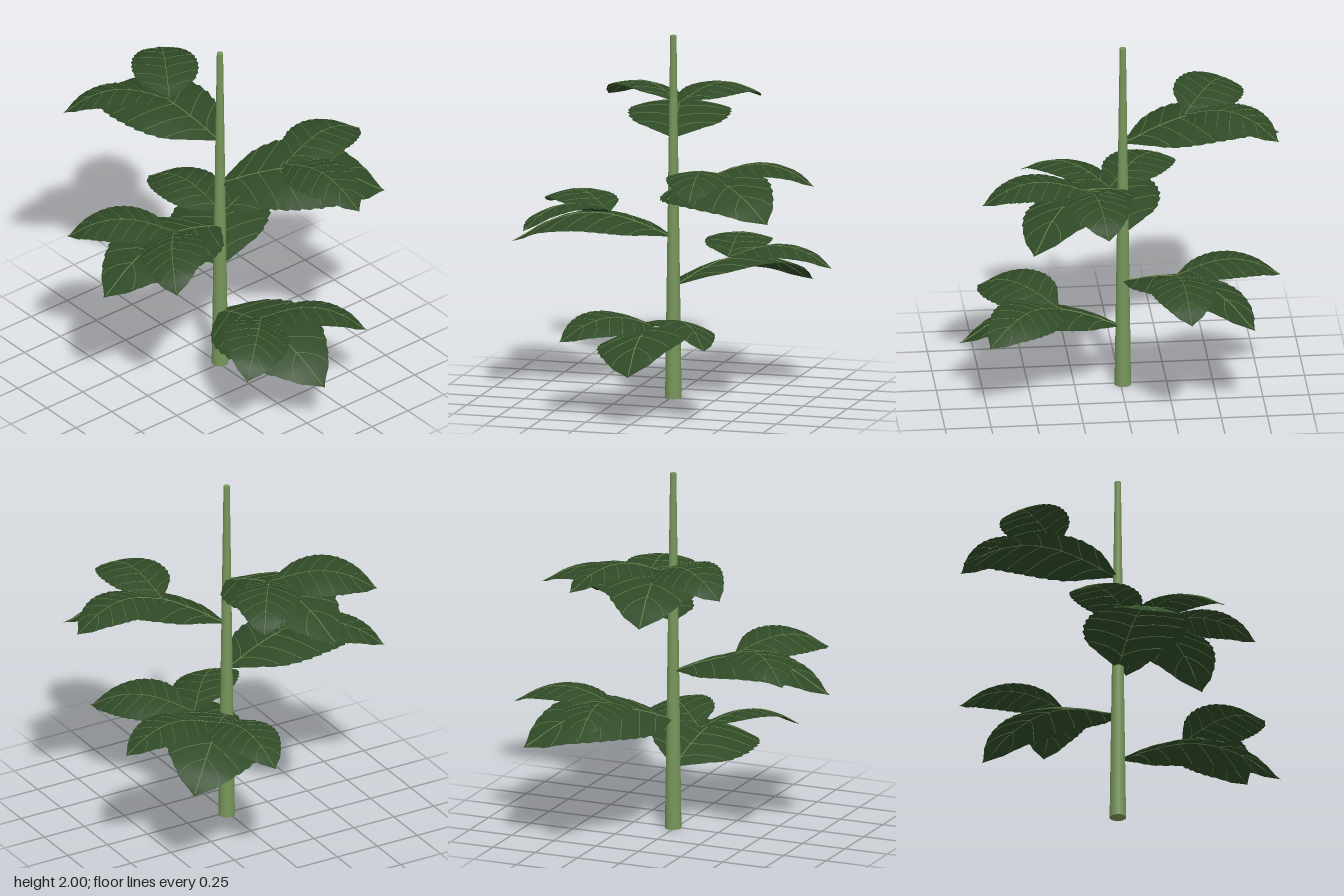
import * as THREE from 'three';
import { mergeGeometries } from 'three/addons/utils/BufferGeometryUtils.js';

const LEN = 0.89, HALF = 0.275, DROOP = 0.05;

// Smooth function on 0..1 through evenly spaced values
const smooth = (values) => {
  const curve = new THREE.SplineCurve(values.map((v, i) => new THREE.Vector2(i / (values.length - 1), v)));
  return (t) => curve.getPoint(t).y;
};
const arch = smooth([0, 0.065, 0.11, 0.105, 0.045, -0.06]);
const outline = smooth([0.04, 0.4, 0.74, 0.92, 1, 1, 0.95, 0.83, 0.64, 0.38, 0]);

// Point on the blade: t runs base to tip, u runs edge to edge (-1..1)
function bladePoint(t, u, lift = 0) {
  const w = outline(t);
  return new THREE.Vector3(t * LEN, arch(t) - DROOP * (u * w) ** 2 + lift, u * w * HALF);
}

// Arched blade with a toothed rim
function bladeGeometry() {
  const rows = 56, cols = 10, pos = [], index = [];
  for (let i = 0; i <= rows; i++) {
    const t = i / rows;
    const tooth = 1 + 0.045 * ((i % 4) / 3 - 0.5);
    for (let j = 0; j <= cols; j++) {
      const u = (j / cols) * 2 - 1;
      const p = bladePoint(t, u);
      p.z *= 1 + (tooth - 1) * Math.abs(u) ** 6;
      pos.push(p.x, p.y, p.z);
      if (i < rows && j < cols) {
        const a = i * (cols + 1) + j, b = a + cols + 1;
        index.push(a, a + 1, b, b, a + 1, b + 1);
      }
    }
  }
  const g = new THREE.BufferGeometry();
  g.setAttribute('position', new THREE.Float32BufferAttribute(pos, 3));
  g.setIndex(index);
  g.computeVertexNormals();
  return g;
}

// Midrib and paired side veins lying on the blade
function veinGeometry() {
  const tube = (pts, r, n) => new THREE.TubeGeometry(new THREE.CatmullRomCurve3(pts), n, r, 4);
  const rib = [];
  for (let i = 0; i <= 12; i++) rib.push(bladePoint(0.01 + 0.97 * i / 12, 0, 0.001));
  const parts = [tube(rib, 0.0035, 24)];
  for (const side of [-1, 1]) {
    for (let k = 0; k < 6; k++) {
      const t0 = 0.1 + k * 0.13, pts = [];
      for (let i = 0; i <= 4; i++) pts.push(bladePoint(t0 + 0.13 * i / 4, side * 0.93 * i / 4));
      parts.push(tube(pts, 0.002, 8));
    }
  }
  return mergeGeometries(parts);
}

export function createModel() {
  const stemGreen = new THREE.MeshStandardMaterial({ color: 0x76965a });
  stemGreen.name = 'stemGreen';
  const leafGreen = new THREE.MeshStandardMaterial({ color: 0x2f4a27, side: THREE.DoubleSide });
  leafGreen.name = 'leafGreen';
  const veinGreen = new THREE.MeshStandardMaterial({ color: 0x6f8a4c });
  veinGreen.name = 'veinGreen';

  const model = new THREE.Group();
  model.name = 'plant';
  const plant = new THREE.Group();
  plant.name = 'stemAndLeaves';
  plant.position.set(-0.012, 0, -0.012);
  model.add(plant);

  // Tapering stem
  const stem = new THREE.Mesh(new THREE.CylinderGeometry(0.017, 0.045, 2, 20), stemGreen);
  stem.name = 'stem';
  stem.position.y = 1;
  plant.add(stem);

  const blade = bladeGeometry(), veins = veinGeometry();

  // One leaf: yaw turns it around the stem, roll tips its side
  function makeLeaf(name, yaw, roll, scale) {
    const leaf = new THREE.Group();
    leaf.name = name;
    leaf.rotation.order = 'YXZ';
    leaf.rotation.set(roll, -THREE.MathUtils.degToRad(yaw), 0);
    leaf.scale.setScalar(scale);
    const b = new THREE.Mesh(blade, leafGreen);
    b.name = name + 'Blade';
    const v = new THREE.Mesh(veins, veinGreen);
    v.name = name + 'Veins';
    leaf.add(b, v);
    return leaf;
  }

  // Five sprays spiralling up: [heading, main roll, roll of each side leaflet]
  const sprays = [
    [0, 0.17, -0.2, -0.2],
    [221, -0.2, 0, 0],
    [84, 0, 0, 0.2],
    [309, 0.2, 0, 0],
    [168, 0, 0, 0.2],
  ];
  sprays.forEach(([heading, roll, rollA, rollB], i) => {
    const spray = new THREE.Group();
    spray.name = 'leafSpray' + (i + 1);
    spray.position.y = 0.345 + i * 0.2725;
    spray.rotation.y = -THREE.MathUtils.degToRad(heading);
    spray.add(makeLeaf('mainLeaf', 0, roll, 1));
    [[45.5, rollA], [-45.5, rollB]].forEach(([yaw, r]) => {
      const leaflet = makeLeaf('sideLeaflet', yaw, r, 0.65);
      leaflet.position.set(0.35, 0.122, 0);
      spray.add(leaflet);
    });
    plant.add(spray);
  });
  return model;
}
